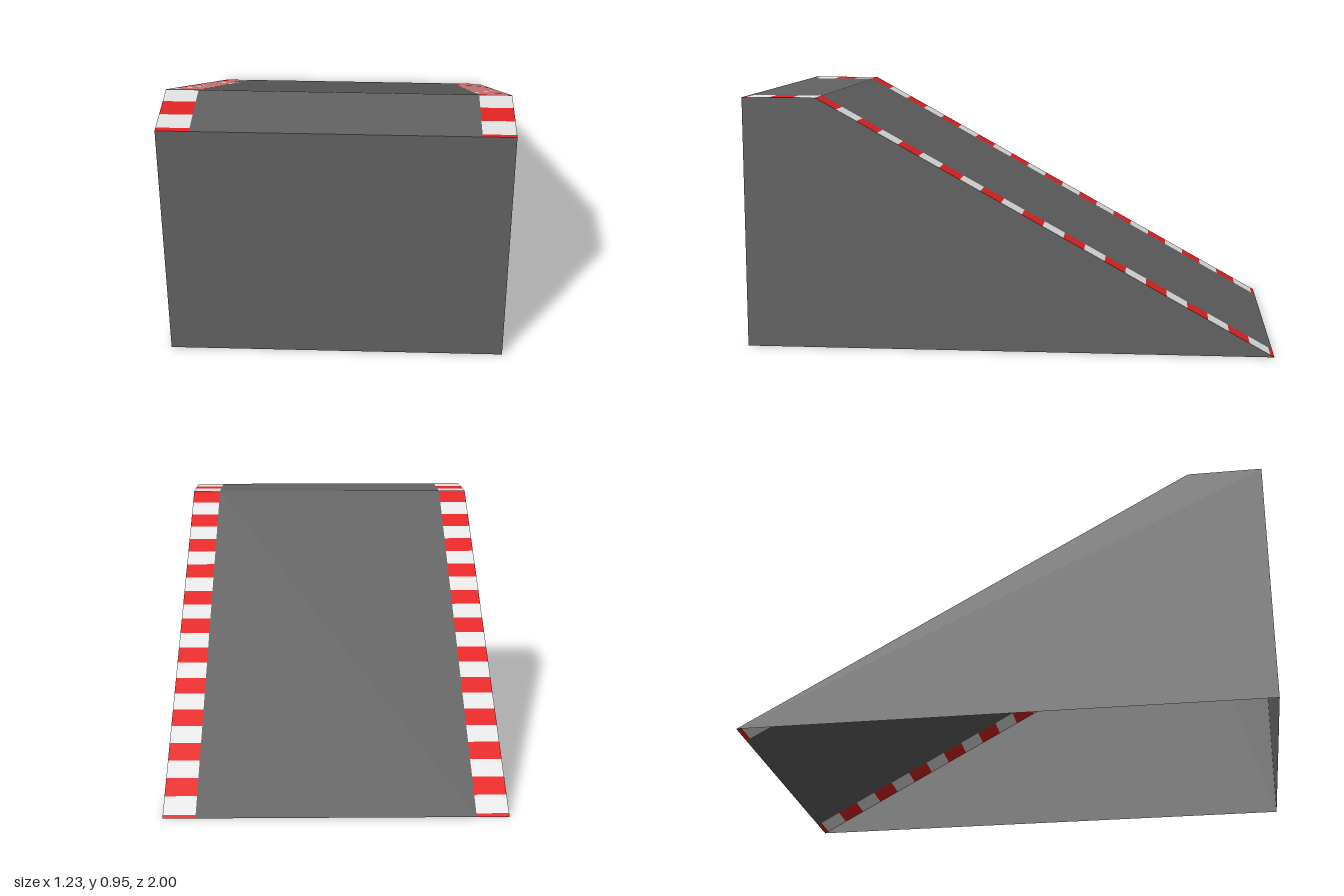
import * as THREE from 'three';
import { mergeGeometries } from 'three/addons/utils/BufferGeometryUtils.js';

const HALF_W = 0.617, INNER = 0.5, HEIGHT = 0.955, CREST = 0.72, BAND = 0.0775;

// Height of the running surface at depth z
const heightAt = (z) => (z >= CREST ? HEIGHT : (HEIGHT * (z + 1)) / (CREST + 1));

// Upward-facing patch of the running surface
function patch(x0, x1, z0, z1) {
  const y0 = heightAt(z0), y1 = heightAt(z1);
  const g = new THREE.BufferGeometry();
  g.setAttribute('position', new THREE.Float32BufferAttribute(
    [x0, y0, z0, x0, y1, z1, x1, y1, z1, x1, y0, z0], 3));
  g.setIndex([0, 1, 2, 0, 2, 3]);
  g.computeVertexNormals();
  return g;
}

export function createModel() {
  const material = (name, color) =>
    new THREE.MeshStandardMaterial({ name, color, side: THREE.DoubleSide });
  const grey = material('asphaltGrey', 0x646464);
  const red = material('warningRed', 0xf02525);
  const white = material('warningWhite', 0xf0f0f0);

  const model = new THREE.Group();
  model.name = 'ramp';
  const add = (name, geometry, mat) => {
    const mesh = new THREE.Mesh(geometry, mat);
    mesh.name = name;
    model.add(mesh);
    return mesh;
  };

  // Running surface: slope and level platform
  add('slope', patch(-INNER, INNER, -1, CREST), grey);
  add('platform', patch(-INNER, INNER, CREST, 1), grey);

  // Front wall; the underside stays open
  add('frontWall', new THREE.PlaneGeometry(2 * HALF_W, HEIGHT), grey)
    .position.set(0, HEIGHT / 2, 1);

  // Side walls
  for (const side of [-1, 1]) {
    const outline = [[-1, 0], [1, 0], [1, HEIGHT], [CREST, HEIGHT]]
      .map(([z, y]) => new THREE.Vector2(-side * z, y));
    const wall = new THREE.ShapeGeometry(new THREE.Shape(outline));
    wall.rotateY((side * Math.PI) / 2);
    wall.translate(side * HALF_W, 0, 0);
    add(side > 0 ? 'leftWall' : 'rightWall', wall, grey);
  }

  // Striped edges: even bands down the slope, slightly longer ones on the platform
  for (const side of [-1, 1]) {
    const [x0, x1] = side > 0 ? [INNER, HALF_W] : [-HALF_W, -INNER];
    const bands = { red: [], white: [] };
    for (let i = 0, z = CREST; z > -1; i++, z -= BAND) {
      bands[i % 2 ? 'white' : 'red'].push(patch(x0, x1, Math.max(-1, z - BAND), z));
    }
    const shift = side > 0 ? 0.006 : 0;
    const cuts = [CREST, 0.802 + shift, 0.89 + shift, 0.978 + shift, 1];
    for (let i = 0; i < 4; i++) {
      bands[i % 2 ? 'red' : 'white'].push(patch(x0, x1, cuts[i], cuts[i + 1]));
    }
    const label = side > 0 ? 'left' : 'right';
    add(label + 'RedStripes', mergeGeometries(bands.red), red);
    add(label + 'WhiteStripes', mergeGeometries(bands.white), white);
  }
  return model;
}
